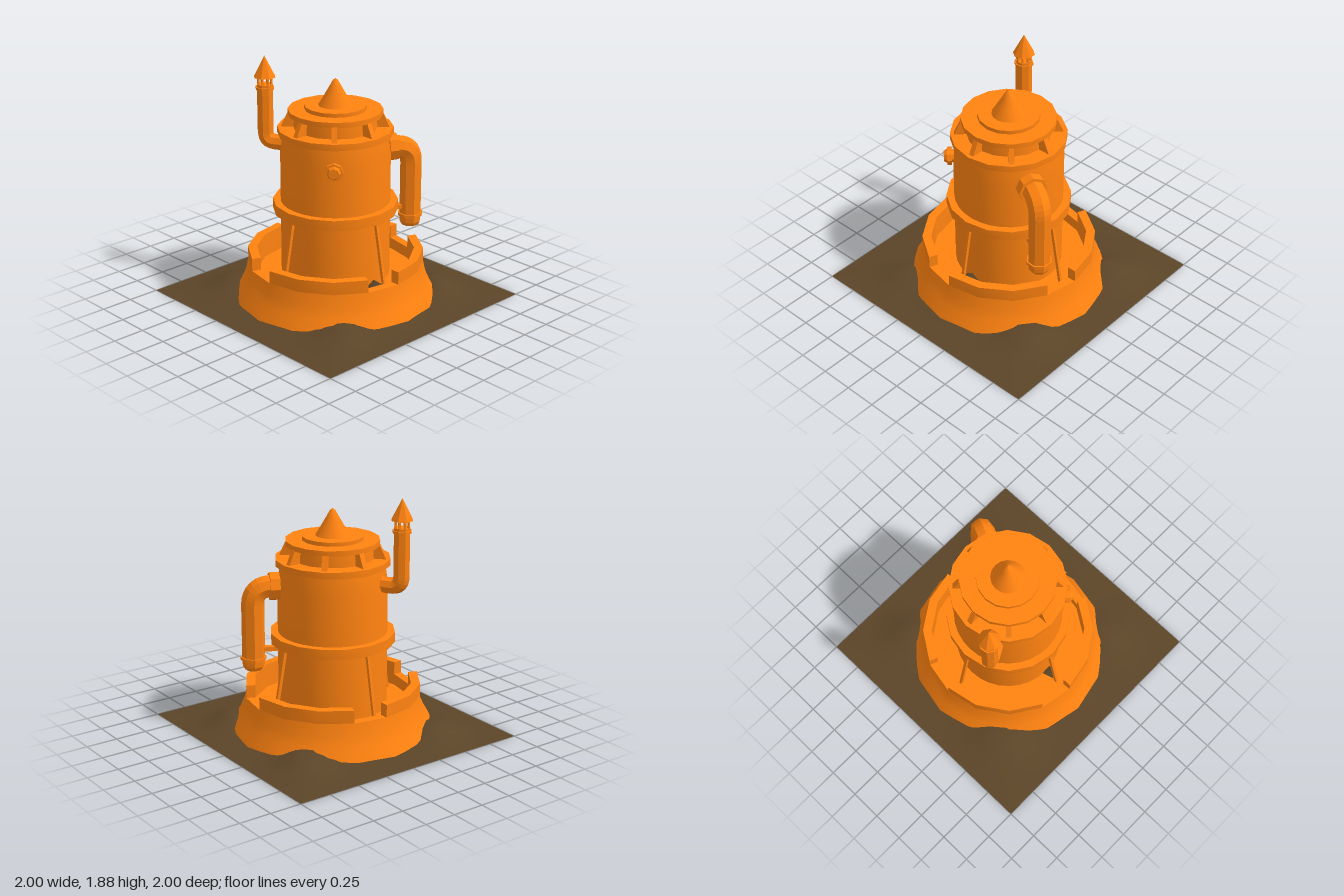
import * as THREE from 'three';
import { toCreasedNormals } from 'three/addons/utils/BufferGeometryUtils.js';

const orange = new THREE.MeshStandardMaterial({ color: 0xff8210, side: THREE.DoubleSide });
const orangeFlat = new THREE.MeshStandardMaterial({ color: 0xff8210, side: THREE.DoubleSide, flatShading: true });
const soil = new THREE.MeshStandardMaterial({ color: 0x5c4528, side: THREE.DoubleSide });
const V = (x, y, z) => new THREE.Vector3(x, y, z);
const UP = V(0, 1, 0);

function add(parent, name, geometry, material = orange) {
  const mesh = new THREE.Mesh(geometry, material);
  mesh.name = name;
  parent.add(mesh);
  return mesh;
}

// Surface of revolution from [radius, y] pairs, with sharp profile corners
function turned(profile, sides = 16, start = 0, length = Math.PI * 2) {
  const pts = profile.map(([r, y]) => new THREE.Vector2(r, y));
  return toCreasedNormals(new THREE.LatheGeometry(pts, sides, start, length), 0.6);
}

// Solid disc or band between two heights
const band = (r, y0, y1) => turned([[0, y0], [r, y0], [r, y1], [0, y1]]);

// Straight round bar between two points
function bar(parent, name, a, b, r0, r1 = r0, sides = 8) {
  const d = b.clone().sub(a);
  const mesh = add(parent, name, new THREE.CylinderGeometry(r1, r0, d.length(), sides), orangeFlat);
  mesh.position.copy(a).add(b).multiplyScalar(0.5);
  mesh.quaternion.setFromUnitVectors(UP, d.normalize());
}

// Pipe leaving the wall along local +z, bending to a vertical run at z = out
function elbowPipe(parent, name, inner, out, y, yEnd, r, bend) {
  const s = Math.sign(yEnd - y);
  const path = new THREE.CurvePath();
  const p = [V(0, y, inner), V(0, y, out - bend), V(0, y, out), V(0, y + s * bend, out), V(0, yEnd, out)];
  path.add(new THREE.LineCurve3(p[0], p[1]));
  path.add(new THREE.QuadraticBezierCurve3(p[1], p[2], p[3]));
  path.add(new THREE.LineCurve3(p[3], p[4]));
  add(parent, name, new THREE.TubeGeometry(path, 28, r, 8), orangeFlat);
}

// Group turned so that local +z points outward at the given angle
function spoke(parent, name, angle) {
  const g = new THREE.Group();
  g.name = name;
  g.rotation.y = angle;
  parent.add(g);
  return g;
}

// Soil sheet: flat middle and rim, mounds piled against the base and body
function makeGround() {
  // x, z, height, spread
  const mounds = [
    [-0.5, 0.6, 0.09, 0.12], [0.61, 0.48, 0.11, 0.11], [0.61, -0.5, 0.11, 0.12], [-0.5, -0.6, 0.1, 0.13],
    [0, 0.43, 0.25, 0.13], [-0.42, 0.02, 0.26, 0.1],
  ];
  const geo = new THREE.PlaneGeometry(2, 2, 16, 16).rotateX(-Math.PI / 2);
  const pos = geo.attributes.position;
  for (let i = 0; i < pos.count; i++) {
    const x = pos.getX(i), z = pos.getZ(i);
    const m = Math.max(Math.abs(x), Math.abs(z));
    if (m < 0.26) continue;
    let h = 0.02;
    for (const [mx, mz, height, s] of mounds) {
      h += height * Math.exp(-((x - mx) ** 2 + (z - mz) ** 2) / (2 * s * s));
    }
    pos.setY(i, h * Math.min(1, (1 - m) / 0.25));
  }
  geo.computeVertexNormals();
  return geo;
}

export function createModel() {
  const model = new THREE.Group();
  model.name = 'tower';
  add(model, 'ground', makeGround(), soil);

  // Flared base with a flat walkway inside
  add(model, 'baseSkirt', turned([
    [0.8, 0], [0.775, 0.05], [0.735, 0.12], [0.7, 0.2], [0.68, 0.29], [0.61, 0.29], [0.61, 0.2], [0.41, 0.2],
  ]));

  // Four parapet walls, separated by narrow notches
  const step = Math.PI / 8;
  for (let i = 0; i < 4; i++) {
    const start = i * Math.PI / 2;
    add(model, 'parapet', turned([[0.68, 0.29], [0.68, 0.39], [0.61, 0.39], [0.61, 0.29]], 3, start, 3 * step));
    for (const a of [start, start + 3 * step]) {
      const g = spoke(model, 'parapetEnd', a);
      const end = add(g, 'endFace', new THREE.PlaneGeometry(0.07, 0.1));
      end.rotation.y = Math.PI / 2;
      end.position.set(0, 0.34, 0.645);
    }
  }

  // Main body and its bands
  add(model, 'body', turned([[0, 0.01], [0.42, 0.01], [0.42, 1.17], [0.395, 1.34]], 32));
  add(model, 'lowerBand', band(0.48, 0.715, 0.795));
  add(model, 'upperBand', band(0.44, 1.325, 1.375));
  add(model, 'lanternCore', turned([[0.32, 1.37], [0.31, 1.49]]));
  add(model, 'lanternRim', band(0.36, 1.475, 1.515));
  add(model, 'roofPlate', band(0.235, 1.515, 1.545));
  add(model, 'roofCone', turned([[0.13, 1.545], [0.085, 1.62], [0.045, 1.69], [0.02, 1.735], [0, 1.75]], 16));

  // Brackets around the lantern
  const bracket = new THREE.Shape([[0.3, 1.37], [0.41, 1.37], [0.36, 1.48], [0.3, 1.48]]
    .map(([r, y]) => new THREE.Vector2(r, y)));
  const bracketGeo = new THREE.ExtrudeGeometry(bracket, { depth: 0.04, bevelEnabled: false })
    .translate(0, 0, -0.02).rotateY(-Math.PI / 2);
  for (let i = 0; i < 8; i++) {
    add(spoke(model, 'lanternBracket', i * Math.PI / 4), 'bracket', bracketGeo, orangeFlat);
  }

  // Sloping struts from the lower band to the ground
  for (let i = 0; i < 4; i++) {
    const g = spoke(model, 'strut', i * Math.PI / 2);
    const a = V(0, 0.002, 0.575), b = V(0, 0.74, 0.435);
    const strut = add(g, 'strutBar', new THREE.BoxGeometry(0.022, a.distanceTo(b), 0.025));
    strut.position.copy(a).add(b).multiplyScalar(0.5);
    strut.rotation.x = Math.atan2(b.z - a.z, b.y - a.y);
  }

  // Large downpipe
  const pipeOut = 0.612;
  const down = spoke(model, 'downpipe', Math.atan2(0.545, 0.268));
  elbowPipe(down, 'pipe', 0.39, pipeOut, 1.165, 0.58, 0.088, 0.14);
  bar(down, 'wallFlange', V(0, 1.165, 0.41), V(0, 1.165, 0.485), 0.11);
  bar(down, 'collar', V(0, 0.59, pipeOut), V(0, 0.612, pipeOut), 0.1);
  bar(down, 'nozzle', V(0, 0.54, pipeOut), V(0, 0.59, pipeOut), 0.084, 0.088);
  bar(down, 'nozzleTip', V(0, 0.51, pipeOut), V(0, 0.54, pipeOut), 0.065, 0.084);
  add(down, 'pipeBracket', new THREE.BoxGeometry(0.05, 0.035, 0.14)).position.set(0, 0.67, 0.49);

  // Chimney at the back
  const out = 0.556;
  const chimney = spoke(model, 'chimney', Math.atan2(-0.28, -0.48));
  elbowPipe(chimney, 'stack', 0.38, out, 1.205, 1.65, 0.064, 0.08);
  bar(chimney, 'collar', V(0, 1.62, out), V(0, 1.64, out), 0.074);
  bar(chimney, 'stackTop', V(0, 1.64, out), V(0, 1.66, out), 0.064);
  for (let i = 0; i < 8; i++) {
    const a = i * Math.PI / 4, x = 0.052 * Math.sin(a), z = out + 0.052 * Math.cos(a);
    bar(chimney, 'ventPost', V(x, 1.65, z), V(x, 1.72, z), 0.009, 0.009, 4);
  }
  bar(chimney, 'chimneyCap', V(0, 1.715, out), V(0, 1.88, out), 0.085, 0);

  // Small capped port
  const port = spoke(model, 'port', -Math.PI / 4);
  bar(port, 'portNeck', V(0, 1.165, 0.38), V(0, 1.165, 0.44), 0.05);
  bar(port, 'portFlange', V(0, 1.165, 0.43), V(0, 1.165, 0.465), 0.069);
  bar(port, 'portCap', V(0, 1.165, 0.465), V(0, 1.165, 0.49), 0.055, 0.04);

  return model;
}
